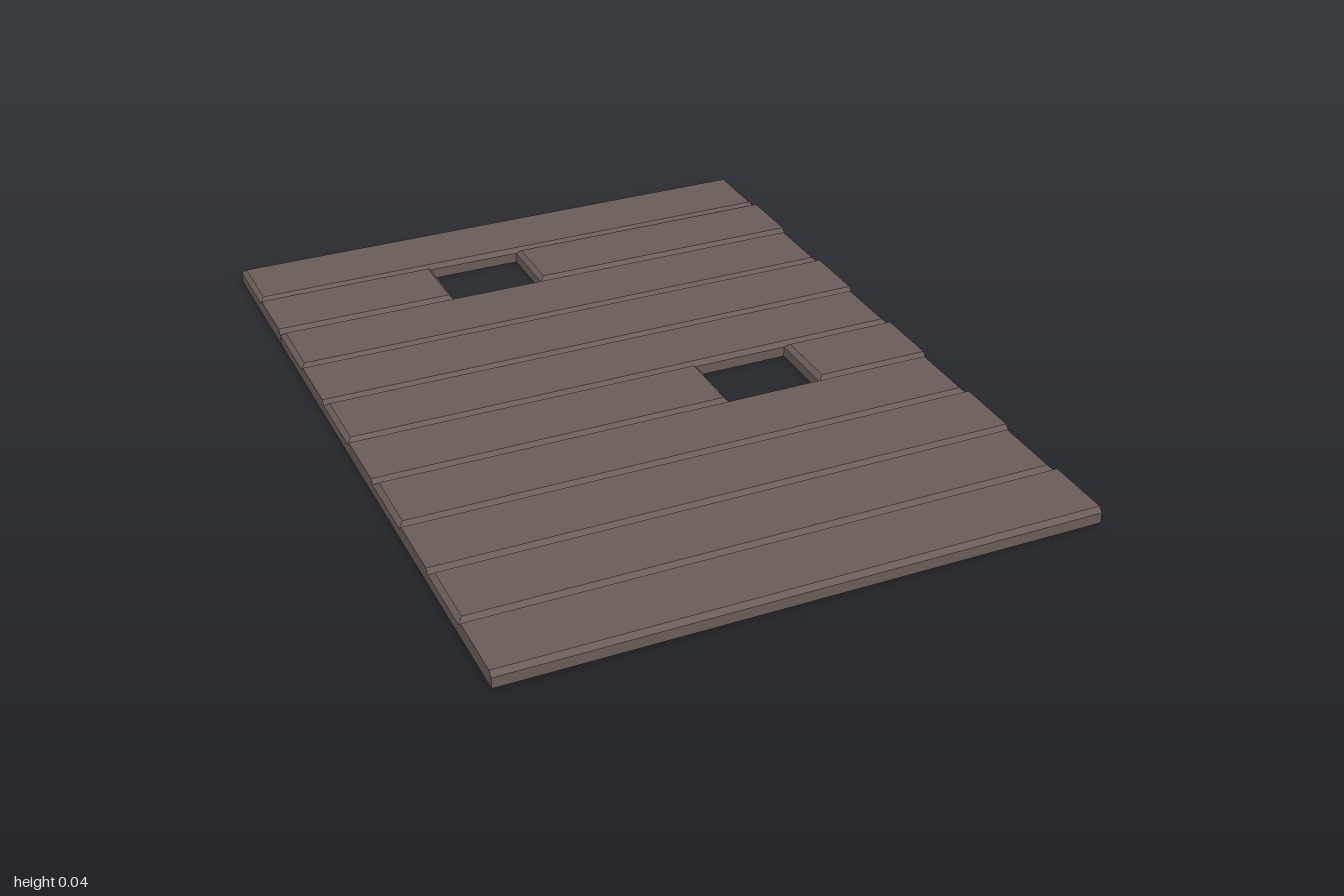
import * as THREE from 'three';

const HALF = 0.76, HEIGHT = 0.04, BEVEL = 0.012, PITCH = 0.2, COUNT = 10;
const SEAM = 0.004; // hairline gap behind the third plank

// Board from x0 to x1 and z0 to z1, top edges chamfered; each end can stay square
function boardGeometry(x0, x1, z0, z1, bevelStart, bevelEnd) {
  const g = new THREE.BoxGeometry(x1 - x0, HEIGHT, z1 - z0, 1, 2, 1);
  g.translate((x0 + x1) / 2, HEIGHT / 2, (z0 + z1) / 2);
  const p = g.attributes.position;
  const midX = (x0 + x1) / 2, midZ = (z0 + z1) / 2;
  for (let i = 0; i < p.count; i++) {
    const y = p.getY(i);
    if (y > HEIGHT * 0.75) {
      // Top ring is drawn inwards
      const left = p.getX(i) < midX;
      if (left ? bevelStart : bevelEnd) p.setX(i, p.getX(i) + (left ? BEVEL : -BEVEL));
      p.setZ(i, p.getZ(i) + (p.getZ(i) < midZ ? BEVEL : -BEVEL));
    } else if (y > HEIGHT * 0.25) {
      // Middle ring marks the start of the chamfer
      p.setY(i, HEIGHT - BEVEL);
    }
  }
  const flat = g.toNonIndexed();
  flat.computeVertexNormals();
  return flat;
}

export function createModel() {
  const model = new THREE.Group();
  model.name = 'plankFloor';
  const wood = new THREE.MeshStandardMaterial({ color: 0x6a5c58, flatShading: true });

  // Missing sections, by plank row counted from the back
  const holes = { 1: [-0.265, -0.007], 5: [0.187, 0.445] };

  for (let row = 0; row < COUNT; row++) {
    const z0 = -1 + row * PITCH;
    const z1 = z0 + PITCH - (row === 1 ? SEAM : 0);
    const endBevel = row % 2 === 0;
    const add = (name, x0, x1, start, end) => {
      const mesh = new THREE.Mesh(boardGeometry(x0, x1, z0, z1, start, end), wood);
      mesh.name = name;
      model.add(mesh);
    };
    const hole = holes[row];
    if (hole) {
      add(`plank${row + 1}Right`, -HALF, hole[0], endBevel, true);
      add(`plank${row + 1}Left`, hole[1], HALF, true, endBevel);
    } else {
      add(`plank${row + 1}`, -HALF, HALF, endBevel, endBevel);
    }
  }
  return model;
}
